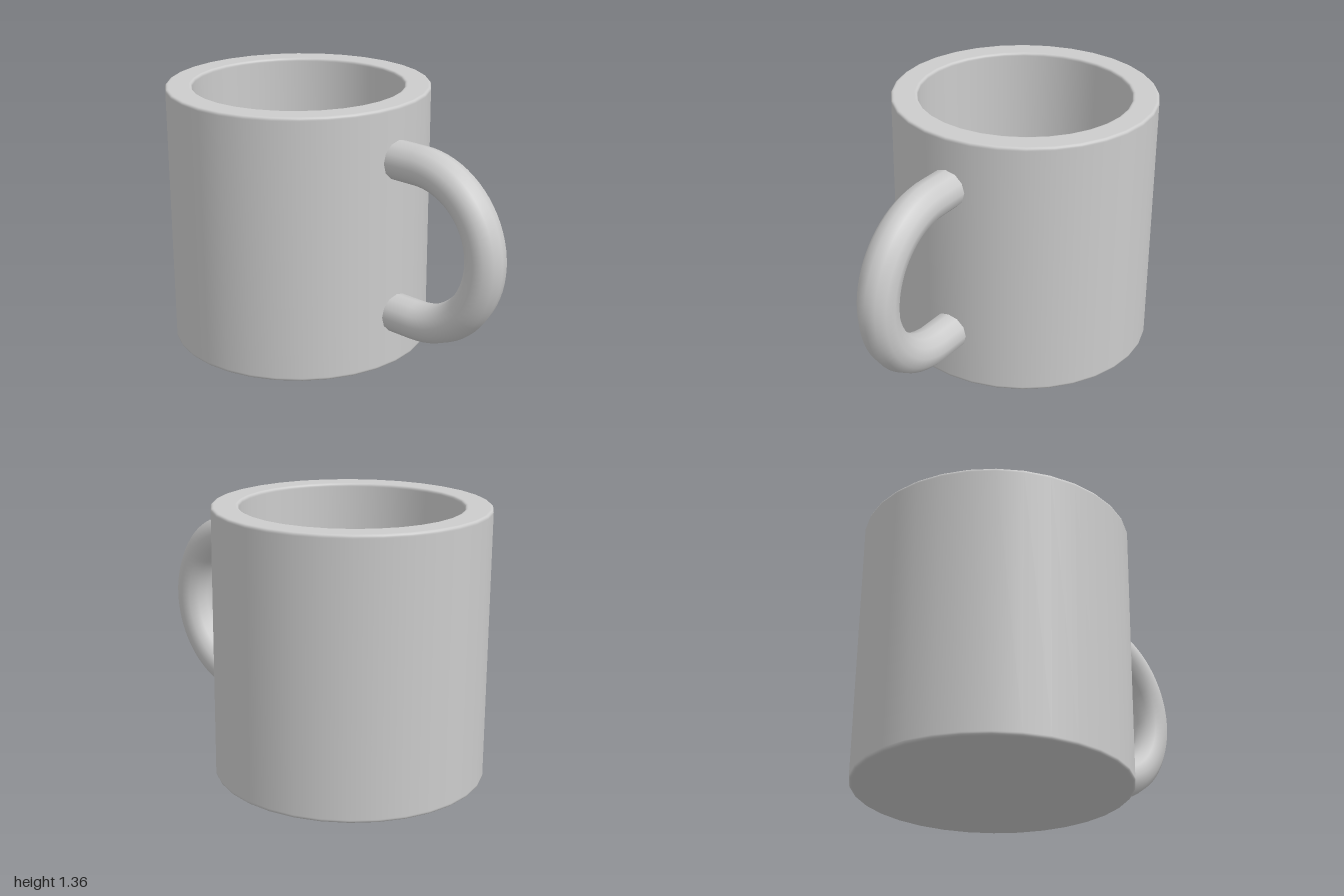
import * as THREE from 'three';

const RADIUS = 0.68, INNER = 0.545, HEIGHT = 1.36, FLOOR = 0.14, CUP_X = -0.32;

// Handle centreline: straight stub, half circle, straight stub
class HandleCurve extends THREE.Curve {
  getPoint(t, target = new THREE.Vector3()) {
    const startX = 0.28, bendX = 0.495, midY = 0.685, r = 0.405;
    const stub = bendX - startX, arc = Math.PI * r;
    const d = t * (2 * stub + arc);
    if (d < stub) return target.set(startX + d, midY + r, 0);
    if (d > stub + arc) return target.set(bendX - (d - stub - arc), midY - r, 0);
    const a = Math.PI / 2 - (d - stub) / r;
    return target.set(bendX + r * Math.cos(a), midY + r * Math.sin(a), 0);
  }
}

// Small rounded corner as profile points, with loops beside it to keep the faces flat
function corner(cx, cy, r, from, to) {
  const pts = [];
  for (let i = 0; i <= 3; i++) {
    const a = THREE.MathUtils.degToRad(from + (to - from) * i / 3);
    pts.push(new THREE.Vector2(cx + r * Math.cos(a), cy + r * Math.sin(a)));
  }
  const s = 0.005, a0 = THREE.MathUtils.degToRad(from), a1 = THREE.MathUtils.degToRad(to);
  const sign = Math.sign(to - from);
  pts.unshift(new THREE.Vector2(pts[0].x + sign * s * Math.sin(a0), pts[0].y - sign * s * Math.cos(a0)));
  const e = pts[pts.length - 1];
  pts.push(new THREE.Vector2(e.x - sign * s * Math.sin(a1), e.y + sign * s * Math.cos(a1)));
  return pts;
}

export function createModel() {
  const model = new THREE.Group();
  model.name = 'mug';
  const material = new THREE.MeshStandardMaterial({ color: 0xcccccc });

  // Cup: underside, outer wall, rim, inner wall and floor in one profile
  const b = 0.012;
  const profile = [
    new THREE.Vector2(0, 0),
    ...corner(RADIUS - b, b, b, -90, 0),
    ...corner(RADIUS - b, HEIGHT - b, b, 0, 90),
    ...corner(INNER + b, HEIGHT - b, b, 90, 180),
    ...corner(INNER - b, FLOOR + b, b, 0, -90),
    new THREE.Vector2(0, FLOOR),
  ];
  const cup = new THREE.Mesh(new THREE.LatheGeometry(profile, 32), material);
  cup.name = 'cup';
  cup.position.x = CUP_X;
  model.add(cup);

  // Handle: its ends are buried in the wall
  const handle = new THREE.Mesh(new THREE.TubeGeometry(new HandleCurve(), 48, 0.1, 12), material);
  handle.name = 'handle';
  model.add(handle);

  return model;
}
